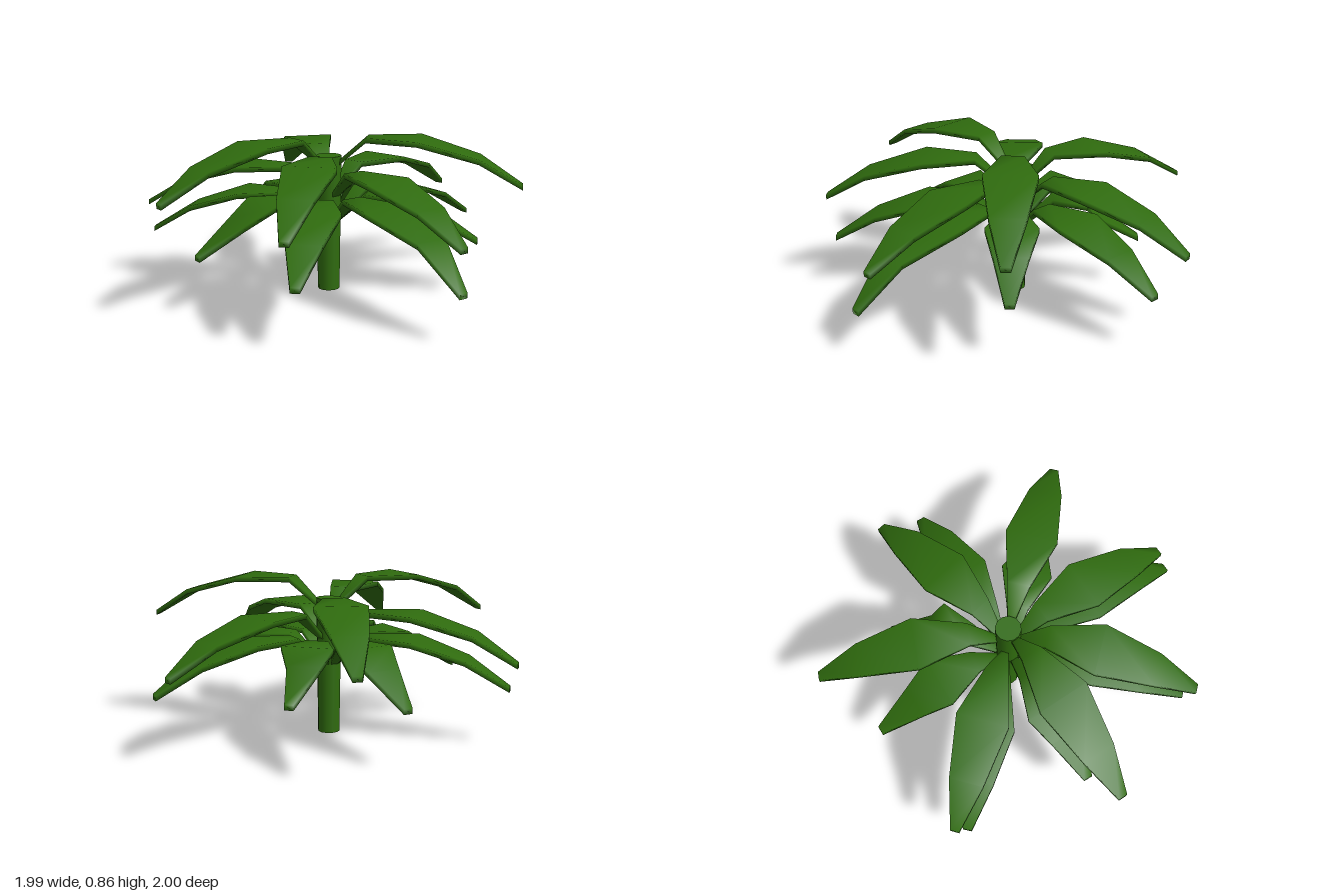
import * as THREE from 'three';

const green = new THREE.MeshStandardMaterial({ color: 0x2f6b0e, roughness: 1 });
const STEM_X = -0.017, STEM_Z = 0.018, THICK = 0.028;

// Arching leaf along +z, lofted from flat rectangular sections
function leafGeometry(length, top, drop) {
  const sections = [ // distance out, height of upper face, half width
    [0.03, top - 0.16, 0.012],
    [0.21, top, 0.06],
    [0.2 + 0.28 * length, top, 0.14],
    [length - 0.23, top - 0.09, 0.09],
    [length, top - drop, 0.024],
  ];
  const pos = [], index = [];
  sections.forEach(([r, y, w]) => {
    pos.push(-w, y, r, w, y, r, w, y - THICK, r, -w, y - THICK, r);
  });
  for (let i = 0; i < sections.length - 1; i++) {
    for (let k = 0; k < 4; k++) {
      const a = i * 4 + k, b = i * 4 + (k + 1) % 4;
      index.push(a, a + 4, b, b, a + 4, b + 4);
    }
  }
  const e = (sections.length - 1) * 4;
  index.push(0, 1, 2, 0, 2, 3, e, e + 2, e + 1, e, e + 3, e + 2);
  const geo = new THREE.BufferGeometry();
  geo.setAttribute('position', new THREE.Float32BufferAttribute(pos, 3));
  geo.setIndex(index);
  geo.computeVertexNormals();
  return geo;
}

// Tiers of leaves: height of the arch and the tip positions [x, z]
const tiers = [
  { name: 'crownLeaf', top: 0.86, tips: [[-0.38, 0.985], [0.955, -0.355]] },
  { name: 'upperLeaf', top: 0.78, tips: [[0.35, 0.985], [-0.76, -0.69]] },
  { name: 'middleLeaf', top: 0.69, tips: [[0.16, -1.0], [0.955, 0.375], [-0.99, 0.375]] },
  {
    name: 'lowerLeaf', top: 0.55,
    tips: [[0.38, -0.9], [0.37, 0.93], [-0.93, 0.405],
      [0.74, -0.28], [-0.33, 0.77], [-0.77, -0.3], [-0.28, -0.615]],
  },
  { name: 'lowestLeaf', top: 0.55, drop: 0.29, tips: [[0.985, 0.435]] },
];

export function createModel() {
  const plant = new THREE.Group();
  plant.name = 'plant';

  // Stem, slightly wider towards the crown
  const stem = new THREE.Mesh(new THREE.CylinderGeometry(0.07, 0.06, 0.75, 12), green);
  stem.name = 'stem';
  stem.position.set(STEM_X, 0.375, STEM_Z);
  plant.add(stem);

  // Leaves, each turned towards its tip
  for (const { name, top, drop = 0.23, tips } of tiers) {
    tips.forEach(([x, z], i) => {
      const dx = x - STEM_X, dz = z - STEM_Z;
      const leaf = new THREE.Mesh(leafGeometry(Math.hypot(dx, dz), top, drop), green);
      leaf.name = `${name}${i + 1}`;
      leaf.position.set(STEM_X, 0, STEM_Z);
      leaf.rotation.y = Math.atan2(dx, dz);
      plant.add(leaf);
    });
  }
  return plant;
}
